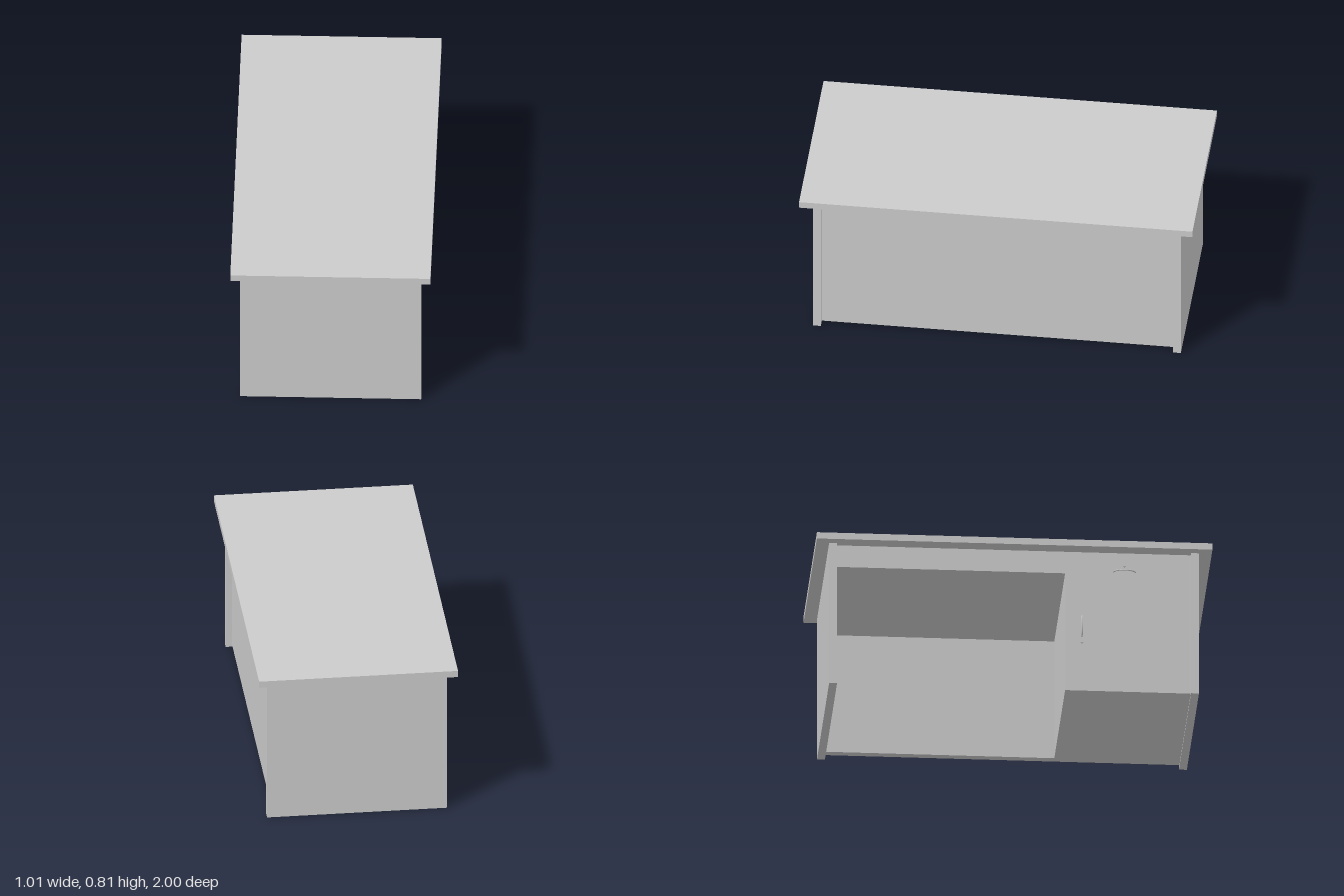
import * as THREE from 'three';

const material = new THREE.MeshStandardMaterial({ color: 0xcccccc });

function add(parent, name, geometry) {
  const mesh = new THREE.Mesh(geometry, material);
  mesh.name = name;
  parent.add(mesh);
  return mesh;
}

// Box given by its lower and upper corners
function addBox(parent, name, [x0, y0, z0], [x1, y1, z1]) {
  const mesh = add(parent, name, new THREE.BoxGeometry(x1 - x0, y1 - y0, z1 - z0));
  mesh.position.set((x0 + x1) / 2, (y0 + y1) / 2, (z0 + z1) / 2);
  return mesh;
}

const FRONT = -0.43; // plane of the drawer and cupboard fronts
const INNER = 0.895; // inner faces of the end panels
const UNDER = 0.78; // underside of the worktop

// Bowed bar handle, upright, with its ends on the front plane
function addHandle(parent, name, y, z) {
  const points = [];
  for (let i = 0; i <= 12; i++) {
    const a = Math.PI * (i / 12 - 0.5);
    points.push(new THREE.Vector3(-0.03 * Math.cos(a), 0.055 * Math.sin(a), 0));
  }
  const path = new THREE.CatmullRomCurve3(points);
  const handle = add(parent, name, new THREE.TubeGeometry(path, 32, 0.0035, 10));
  handle.position.set(FRONT, y, z);
  return handle;
}

// Small round lock cylinder
function addLock(parent, name, y, z) {
  const lock = add(parent, name, new THREE.CylinderGeometry(0.007, 0.007, 0.01, 20));
  lock.rotation.z = Math.PI / 2;
  lock.position.set(FRONT - 0.002, y, z);
}

export function createModel() {
  const desk = new THREE.Group();
  desk.name = 'desk';

  addBox(desk, 'worktop', [-0.505, UNDER, -1], [0.505, 0.815, 1]);
  addBox(desk, 'leftEndPanel', [-0.457, 0, INNER], [0.457, UNDER, 0.935]);
  addBox(desk, 'rightEndPanel', [-0.457, 0, -0.935], [0.457, UNDER, -INNER]);
  addBox(desk, 'modestyPanel', [0.385, 0.01, -INNER], [0.425, UNDER, INNER]);

  // Drawer case across the full width joined to the cupboard: one L-shaped body
  const outline = new THREE.Shape([
    [-INNER, 0.01], [-0.26, 0.01], [-0.26, 0.66], [INNER, 0.66], [INNER, UNDER], [-INNER, UNDER],
  ].map(([x, y]) => new THREE.Vector2(x, y)));
  const body = add(desk, 'drawerCaseAndCupboard',
    new THREE.ExtrudeGeometry(outline, { depth: 0.385 - FRONT, bevelEnabled: false }));
  body.rotation.y = Math.PI / 2; // shape x runs along -z, depth along +x
  body.position.x = FRONT;

  // Fittings
  addHandle(desk, 'drawerHandle', 0.675, 0.56).rotation.x = Math.PI / 2;
  addLock(desk, 'drawerLock', 0.71, 0.56);
  addHandle(desk, 'doorHandle', 0.367, 0.345);
  addLock(desk, 'doorLock', 0.28, 0.345);

  return desk;
}
